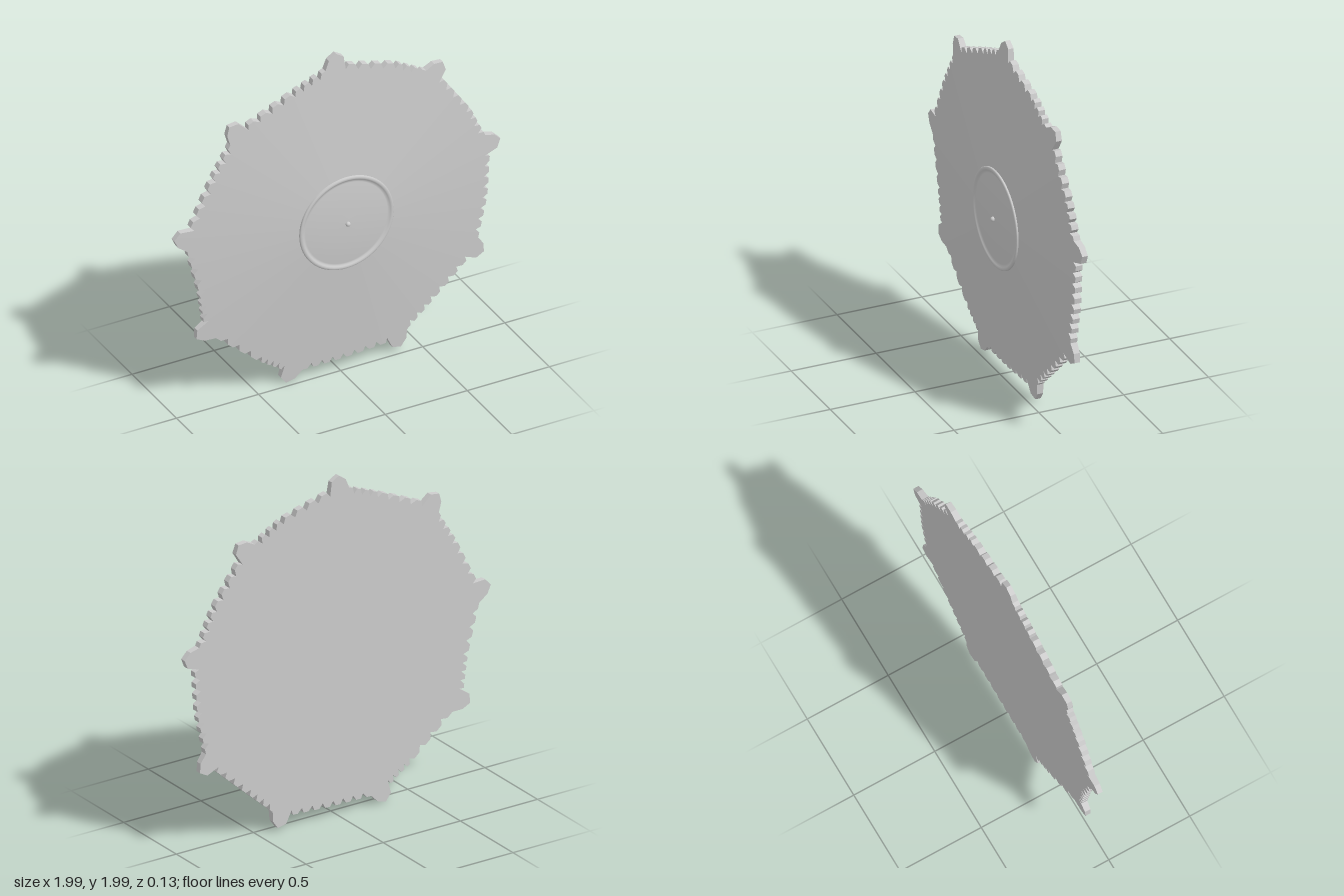
import * as THREE from 'three';

const CX = 0.018, CY = 0.96, BACK = -0.064, HUB = 0.275;

// Nine corner tips, clockwise from the top, each followed by the hollow after it
const TIPS = [[-0.01, 2], [0.64, 1.755], [0.99, 1.165], [0.89, 0.48], [0.385, 0.03],
  [-0.315, 0.01], [-0.86, 0.45], [-0.995, 1.11], [-0.66, 1.73]];
const HOLLOWS = [[0.35, 1.82], [0.79, 1.41], [0.89, 0.83], [0.57, 0.29], [0.03, 0.085],
  [-0.47, 0.21], [-0.83, 0.74], [-0.76, 1.42], [-0.27, 1.82]];

// Front face falls in a straight cone from the hub to the rim
const coneZ = (r) => 0.03 - 0.0865 * (r - 0.285);

// Jagged rim: a knob on every tip, four small teeth on each half edge
function rimOutline() {
  const pts = [];
  const vec = ([x, y]) => new THREE.Vector2(x - CX, y - CY);
  // Point beside a tip: "along" inwards, "side" clockwise
  const beside = (tip, along, side) => {
    const d = tip.clone().normalize();
    return tip.clone().addScaledVector(d, -along).addScaledVector(new THREE.Vector2(d.y, -d.x), side);
  };
  const teeth = (a, b) => {
    for (let k = 0; k < 4; k++) {
      for (const [t, out] of [[0.05, -0.014], [0.3, 0.016], [0.75, 0.016]]) {
        const p = a.clone().lerp(b, (k + t) / 4);
        pts.push(p.setLength(p.length() + out));
      }
    }
  };
  TIPS.forEach((t, i) => {
    const tip = vec(t), next = vec(TIPS[(i + 1) % TIPS.length]), hollow = vec(HOLLOWS[i]);
    pts.push(beside(tip, 0.03, -0.045), tip, beside(tip, 0.03, 0.045));
    teeth(beside(tip, 0.095, 0.05), hollow);
    teeth(hollow, beside(next, 0.095, -0.055));
  });
  return pts.reverse(); // counter-clockwise seen from the front
}

// Skin between closed loops of equal length
function loft(loops) {
  const n = loops[0].length, index = [];
  for (let j = 0; j < loops.length - 1; j++) {
    for (let i = 0; i < n; i++) {
      const a = j * n + i, b = j * n + (i + 1) % n;
      index.push(a, a + n, b, b, a + n, b + n);
    }
  }
  const geo = new THREE.BufferGeometry();
  geo.setAttribute('position', new THREE.Float32BufferAttribute(loops.flat(2), 3));
  geo.setIndex(index);
  geo.computeVertexNormals();
  return geo;
}

export function createModel() {
  const model = new THREE.Group();
  const mat = new THREE.MeshStandardMaterial({ color: 0xcccccc });
  const add = (name, geo, z = 0) => {
    const mesh = new THREE.Mesh(geo, mat);
    mesh.name = name;
    mesh.position.set(CX, CY, z);
    model.add(mesh);
    return mesh;
  };

  const rim = rimOutline();
  const ring = (f) => rim.map((p) => {
    const r = THREE.MathUtils.lerp(HUB, p.length(), f);
    const q = p.clone().setLength(r);
    return [q.x, q.y, coneZ(r)];
  });

  // Shallow cone front
  add('frontCone', loft([0, 0.4, 0.8, 1].map(ring)));

  // Jagged edge wall
  const edge = loft([ring(1), rim.map((p) => [p.x, p.y, BACK])]).toNonIndexed();
  edge.computeVertexNormals();
  add('rimEdge', edge);

  // Flat back, turned to face -z
  const back = new THREE.ShapeGeometry(new THREE.Shape(rim.map((p) => new THREE.Vector2(-p.x, p.y))));
  add('backPlate', back, BACK).rotation.y = Math.PI;

  // Round hub with raised lip, groove and gently domed face
  const profile = [[0.287, 0.015], [0.287, 0.036], [0.283, 0.041], [0.274, 0.042], [0.266, 0.039],
    [0.26, 0.033], [0.25, 0.033], [0.23, 0.036], [0.15, 0.042], [0.07, 0.045], [0, 0.046]];
  const hub = new THREE.LatheGeometry(profile.map(([r, z]) => new THREE.Vector2(r, z)), 64);
  add('hubDisc', hub.rotateX(Math.PI / 2));

  // Small centre stud
  add('centreStud', new THREE.SphereGeometry(0.014, 16, 12), 0.05);
  return model;
}
